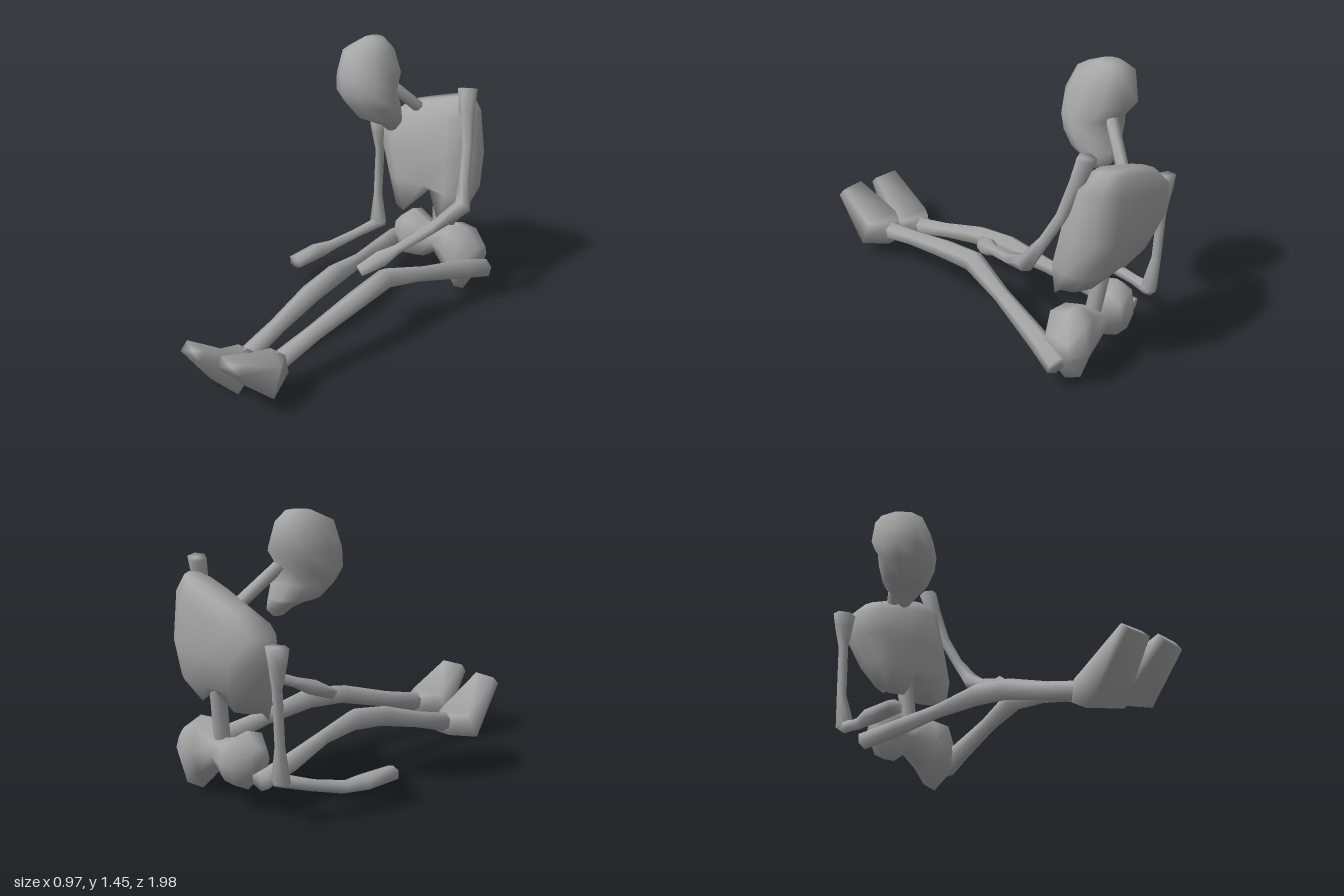
import * as THREE from 'three';

const bone = new THREE.MeshStandardMaterial({ color: 0xa6a6a6 });
bone.name = 'bone grey';
const V = (x, y, z) => new THREE.Vector3(x, y, z);
// Point on a unit circle, pushed toward a square as e drops below 1.
const round = (a, e) => [Math.cos(a), Math.sin(a)].map(v => Math.sign(v) * Math.abs(v) ** e);

// Skin a list of equal-sized rings and close both ends, smooth all over.
function loft(name, rings) {
  const n = rings[0].length, pos = [], idx = [];
  rings.forEach(r => r.forEach(p => pos.push(p.x, p.y, p.z)));
  for (let i = 0; i < rings.length - 1; i++) {
    for (let j = 0; j < n; j++) {
      const a = i * n + j, b = i * n + (j + 1) % n;
      idx.push(a, b, b + n, a, b + n, a + n);
    }
  }
  [rings[0], rings[rings.length - 1]].forEach((r, end) => {
    const base = end * (rings.length - 1) * n, centre = pos.length / 3, c = V(0, 0, 0);
    r.forEach(p => c.addScaledVector(p, 1 / n));
    pos.push(c.x, c.y, c.z);
    for (let j = 0; j < n; j++) {
      const a = base + j, b = base + (j + 1) % n;
      idx.push(...(end ? [a, b, centre] : [b, a, centre]));
    }
  });
  // Turn the faces outward if the enclosed volume is negative.
  const at = i => V(pos[3 * i], pos[3 * i + 1], pos[3 * i + 2]);
  let volume = 0;
  for (let i = 0; i < idx.length; i += 3) volume += at(idx[i]).dot(at(idx[i + 1]).cross(at(idx[i + 2])));
  if (volume < 0) idx.reverse();
  const g = new THREE.BufferGeometry();
  g.setAttribute('position', new THREE.Float32BufferAttribute(pos, 3));
  g.setIndex(idx);
  g.computeVertexNormals();
  const mesh = new THREE.Mesh(g, bone);
  mesh.name = name;
  return mesh;
}

// Limb through stations [x, y, z, half width, half height, squareness], rings square to the path.
function limb(name, stations, sides = 6, ref = V(0, 1, 0)) {
  const p = stations.map(s => V(s[0], s[1], s[2]));
  return loft(name, stations.map((s, i) => {
    const t = p[Math.min(i + 1, p.length - 1)].clone().sub(p[Math.max(i - 1, 0)]).normalize();
    const side = t.clone().cross(ref).normalize(), up = side.clone().cross(t);
    return Array.from({ length: sides }, (_, j) => {
      const [c, d] = round((j + 0.5) / sides * Math.PI * 2, s[5] ?? 1);
      return p[i].clone().addScaledVector(side, c * s[3]).addScaledVector(up, d * s[4]);
    });
  }));
}

// Level ring between x0..x1 and z0..z1, its height set by a rule.
function ring(n, x0, x1, z0, z1, height, e = 1) {
  return Array.from({ length: n }, (_, j) => {
    const [c, s] = round(j / n * Math.PI * 2, e);
    return V((x0 + x1) / 2 + c * (x1 - x0) / 2, height(c, s), (z0 + z1) / 2 + s * (z1 - z0) / 2);
  });
}

function skull() {
  // y, x0, x1, back z, front z
  const rows = [
    [0.962, -0.09, -0.055, -0.64, -0.58], [1.0, -0.135, -0.03, -0.68, -0.54],
    [1.035, -0.19, -0.01, -0.68, -0.47], [1.055, -0.25, 0, -0.68, -0.43], [1.13, -0.31, 0.015, -0.66, -0.38],
    [1.2, -0.337, 0.003, -0.65, -0.345], [1.29, -0.34, -0.015, -0.72, -0.338],
    [1.41, -0.323, -0.06, -0.695, -0.39], [1.467, -0.24, -0.13, -0.64, -0.51],
  ];
  return loft('skull', rows.map(([y, x0, x1, z0, z1]) => ring(10, x0, x1, z0, z1, () => y)));
}

function ribcage() {
  // mean y, sideways tilt, x0, x1, back z, front z
  const rows = [
    [1.1, 0.065, -0.15, 0.25, -0.95, -0.81], [1.0, 0.08, -0.27, 0.325, -0.98, -0.7],
    [0.81, 0.02, -0.262, 0.36, -0.99, -0.67], [0.64, 0, -0.19, 0.372, -0.94, -0.645],
  ];
  const rings = rows.map(([y, t, x0, x1, z0, z1]) => ring(12, x0, x1, z0, z1, c => y + t * c, 0.75));
  // Two low lobes with an arch between them in front and a higher edge behind.
  rings.push(ring(12, -0.125, 0.335, -0.86, -0.645, (c, s) => {
    const lobe = Math.min(1, Math.abs(c) * 2);
    return s > 0.1 ? 0.6 - 0.14 * lobe : 0.6 - 0.08 * lobe;
  }, 0.9));
  // Groove running up the front from the arch
  [[3, 0.04], [4, 0.09]].forEach(([i, depth]) => { rings[i][3].z -= depth; });
  // Inner hollow under the ribs
  rings.push(ring(12, 0.02, 0.2, -0.85, -0.76, () => 0.66));
  // The raised left side is deeper from front to back
  rings.forEach(r => r.forEach(p => { p.z = -0.83 + (p.z + 0.83) * (1 + 0.25 * (p.x - 0.08)); }));
  return loft('ribcage', rings);
}

function pelvis() {
  // Bow-tie: x, y centre, z centre, half height, half depth
  const rows = [
    [-0.12, 0.28, -0.78, 0.07, 0.06], [-0.04, 0.27, -0.79, 0.15, 0.115], [0.04, 0.25, -0.8, 0.12, 0.1],
    [0.13, 0.27, -0.81, 0.075, 0.07], [0.25, 0.26, -0.795, 0.16, 0.11],
    [0.33, 0.215, -0.79, 0.195, 0.135], [0.415, 0.24, -0.8, 0.07, 0.085],
  ];
  // Broad on top, pointed below
  return loft('pelvis', rows.map(([x, y, z, h, d]) => Array.from({ length: 8 }, (_, j) => {
    const a = j / 8 * Math.PI * 2, [c, s] = round(a, Math.sin(a) > 0.1 ? 0.7 : 1);
    return V(x, y + h * s, z + d * c);
  })));
}

export function createModel() {
  const model = new THREE.Group();
  model.name = 'seatedSkeleton';
  model.add(skull(), ribcage(), pelvis());

  // Neck and lower spine
  model.add(limb('neck', [[-0.02, 1.04, -0.8, 0.032, 0.032], [-0.13, 1.22, -0.63, 0.032, 0.032]]));
  model.add(limb('lowerSpine', [[0.11, 0.76, -0.85, 0.045, 0.045], [0.145, 0.34, -0.8, 0.045, 0.045]], 6, V(0, 0, 1)));

  // Legs
  model.add(limb('leftLeg', [
    [0.437, 0.175, -0.83, 0.06, 0.055], [0.4, 0.22, -0.68, 0.052, 0.06], [0.33, 0.3, -0.36, 0.04, 0.045],
    [0.275, 0.36, -0.11, 0.055, 0.06], [0.265, 0.33, 0.12, 0.055, 0.05],
    [0.22, 0.25, 0.4, 0.045, 0.045], [0.185, 0.175, 0.68, 0.05, 0.055],
  ]));
  model.add(limb('rightLeg', [
    [-0.16, 0.2, -0.81, 0.055, 0.05], [-0.12, 0.225, -0.6, 0.05, 0.05], [-0.06, 0.27, -0.33, 0.038, 0.04],
    [-0.025, 0.3, -0.07, 0.055, 0.06], [-0.025, 0.27, 0.14, 0.055, 0.055],
    [-0.03, 0.19, 0.4, 0.045, 0.045], [-0.035, 0.105, 0.68, 0.05, 0.055],
  ]));

  // Feet, heels down and toes raised
  const foot = (name, x, y, toeX, toeY) => model.add(limb(name, [
    [x, y + 0.025, 0.62, 0.07, 0.08], [x, y, 0.75, 0.145, 0.115], [toeX, toeY, 0.97, 0.097, 0.042],
  ], 4));
  foot('leftFoot', 0.185, 0.16, 0.2, 0.335);
  foot('rightFoot', -0.037, 0.09, -0.052, 0.315);

  // Arms, each ending in a flat hand
  model.add(limb('leftArm', [
    [0.27, 1.22, -0.82, 0.055, 0.045], [0.29, 1.1, -0.79, 0.045, 0.04], [0.335, 0.92, -0.74, 0.032, 0.03],
    [0.375, 0.77, -0.67, 0.03, 0.03], [0.42, 0.645, -0.6, 0.048, 0.045],
    [0.34, 0.55, -0.42, 0.032, 0.032], [0.255, 0.475, -0.23, 0.03, 0.03],
    [0.215, 0.44, -0.15, 0.05, 0.035], [0.155, 0.39, -0.045, 0.035, 0.02],
  ], 6, V(0, 0, 1)));
  model.add(limb('rightArm', [
    [-0.325, 0.895, -0.83, 0.065, 0.05], [-0.325, 0.82, -0.83, 0.05, 0.045], [-0.32, 0.7, -0.83, 0.025, 0.028],
    [-0.32, 0.42, -0.82, 0.025, 0.028], [-0.3, 0.24, -0.8, 0.052, 0.045],
  ], 6, V(0, 0, 1)));
  model.add(limb('rightForearm', [
    [-0.285, 0.25, -0.82, 0.04, 0.035], [-0.36, 0.2, -0.66, 0.028, 0.03], [-0.415, 0.165, -0.51, 0.032, 0.034],
    [-0.437, 0.165, -0.4, 0.05, 0.038, 0.7], [-0.445, 0.165, -0.21, 0.045, 0.036, 0.7],
  ]));
  return model;
}
